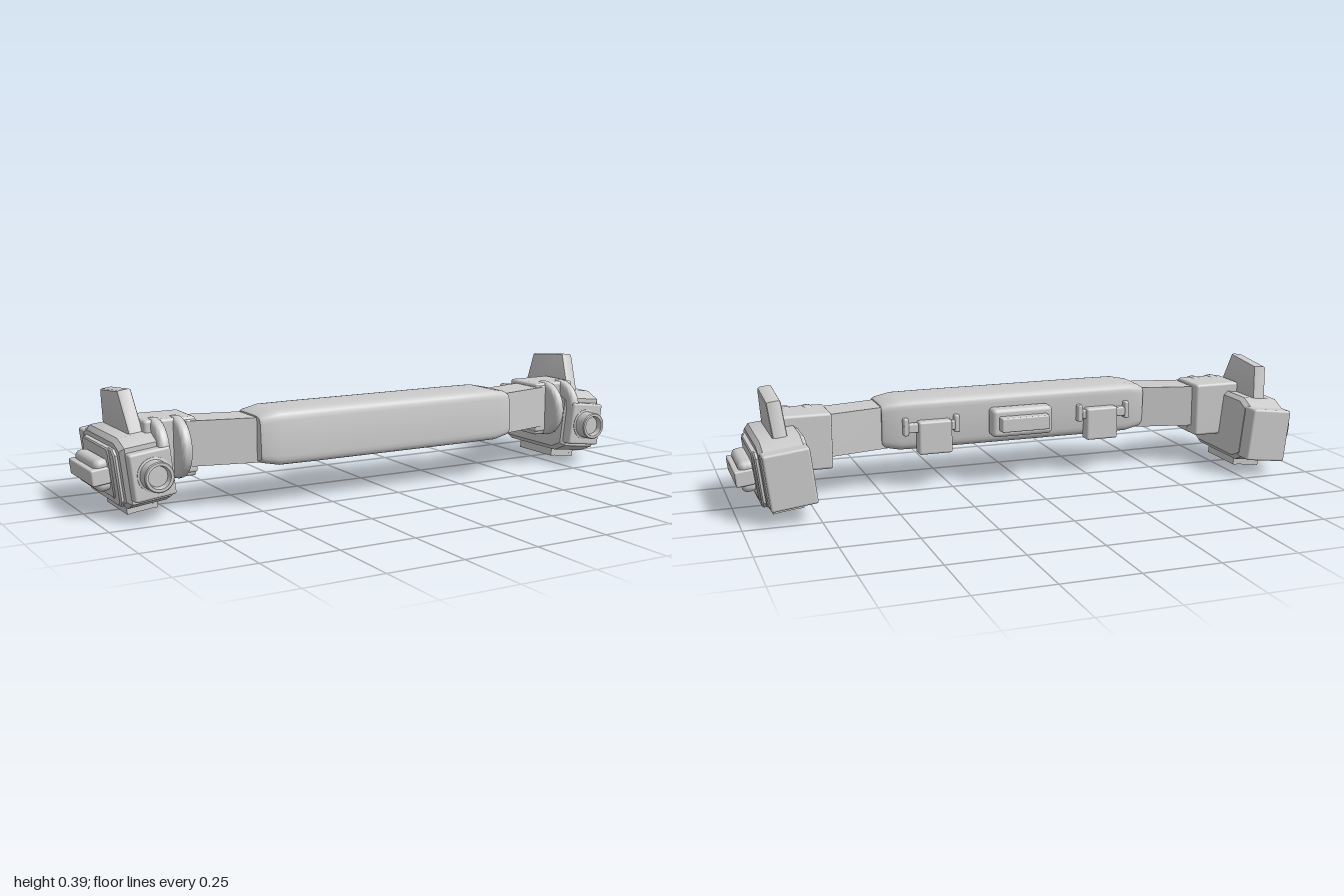
import * as THREE from 'three';
import { toCreasedNormals } from 'three/addons/utils/BufferGeometryUtils.js';
import { RoundedBoxGeometry } from 'three/addons/geometries/RoundedBoxGeometry.js';

const grey = new THREE.MeshStandardMaterial({ color: 0xcccccc });
grey.name = 'light grey';

function add(parent, name, geometry, x = 0, y = 0, z = 0) {
  const mesh = new THREE.Mesh(geometry, grey);
  mesh.name = name;
  mesh.position.set(x, y, z);
  parent.add(mesh);
  return mesh;
}

const round = (w, h, d, r) => new RoundedBoxGeometry(w, h, d, 2, r);

// Bevelled slab: outline given as [z, y], thickness along x, centred on x = 0
function slab(outline, width, bevel, segments = 1) {
  const shape = new THREE.Shape(outline.map(([z, y]) => new THREE.Vector2(-z, y)));
  const g = new THREE.ExtrudeGeometry(shape, {
    depth: width - 2 * bevel, bevelThickness: bevel, bevelSize: bevel,
    bevelOffset: -bevel, bevelSegments: segments,
  });
  g.translate(0, 0, -(width - 2 * bevel) / 2);
  g.rotateY(Math.PI / 2);
  return toCreasedNormals(g, 0.6);
}

// Rectangle outline with cut corners
function cutRect(z0, z1, y0, y1, cz, cy = cz) {
  return [[z0 + cz, y0], [z1 - cz, y0], [z1, y0 + cy], [z1, y1 - cy],
    [z1 - cz, y1], [z0 + cz, y1], [z0, y1 - cy], [z0, y0 + cy]];
}

// Padded bar lofted along x, its rounded section shrinking at both ends
function paddedBar() {
  const stations = [[-0.485, 0.8], [-0.475, 0.87], [-0.42, 0.99], [-0.3, 1],
    [0.3, 1], [0.42, 0.99], [0.475, 0.87], [0.485, 0.8]];
  const n = 32, last = stations.length - 1, pos = [], idx = [];
  const power = (v, e) => Math.sign(v) * Math.abs(v) ** e;
  for (const [x, s] of stations) {
    for (let i = 0; i < n; i++) {
      const a = (i / n) * Math.PI * 2;
      const z = power(Math.cos(a), 0.28) * 0.098;
      const y = power(Math.sin(a), 0.28) * 0.09;
      pos.push(x, 0.22 + y * s, 0.127 + (z - y * 0.06) * (0.35 + 0.65 * s));
    }
  }
  for (let j = 0; j < last; j++) {
    for (let i = 0; i < n; i++) {
      const a = j * n + i, b = j * n + ((i + 1) % n);
      idx.push(a, a + n, b, b, a + n, b + n);
    }
  }
  for (let i = 1; i < n - 1; i++) {
    idx.push(0, i, i + 1, last * n, last * n + i + 1, last * n + i);
  }
  const g = new THREE.BufferGeometry();
  g.setAttribute('position', new THREE.Float32BufferAttribute(pos, 3));
  g.setIndex(idx);
  return toCreasedNormals(g, 0.6);
}

// Hollow lens barrel pointing to +z
function lensGeometry() {
  const profile = [[0.055, 0], [0.055, 0.02], [0.048, 0.022], [0.048, 0.062], [0.045, 0.065],
    [0.036, 0.065], [0.032, 0.045], [0, 0.045]].map(([r, h]) => new THREE.Vector2(r, h));
  const g = new THREE.LatheGeometry(profile, 28);
  g.rotateX(Math.PI / 2);
  return toCreasedNormals(g, 0.5);
}

// Tilted end pod with all its fittings; s is the side
function buildPod(s) {
  const pod = new THREE.Group();
  pod.name = s > 0 ? 'leftPod' : 'rightPod';
  pod.position.set(s * 0.85, 0.148, 0);
  pod.rotation.z = -s * 0.12;

  add(pod, 'podBody', slab(cutRect(-0.203, 0.172, -0.113, 0.113, 0.055, 0.024), 0.155, 0.014), -s * 0.005);
  add(pod, 'sidePlate', slab(cutRect(-0.17, 0.137, -0.1, 0.083, 0.018), 0.03, 0.005), s * 0.07);
  add(pod, 'innerPlate', slab(cutRect(-0.152, 0.1, -0.078, 0.083, 0.012), 0.03, 0.004), s * 0.075);
  add(pod, 'sideKnob', round(0.05, 0.104, 0.205, 0.02), s * 0.108, -0.002, -0.018);
  add(pod, 'knobBand', round(0.06, 0.052, 0.226, 0.006), s * 0.12, -0.001, -0.017);
  add(pod, 'rearBox', round(0.15, 0.184, 0.075, 0.008), -s * 0.006, -0.002, -0.2125);
  add(pod, 'frontPlate', round(0.135, 0.152, 0.05, 0.008), -s * 0.008, -0.002, 0.18);
  add(pod, 'lens', lensGeometry(), -s * 0.012, -0.002, 0.187);

  // Upright fin
  add(pod, 'fin', slab([[0.108, 0.1], [0.048, 0.242], [-0.125, 0.225], [-0.152, 0.1]], 0.048, 0.009, 2), -s * 0.008);

  // Slotted foot under the pod
  for (const x of [-0.043, 0.043]) {
    add(pod, 'footRail', new THREE.BoxGeometry(0.016, 0.035, 0.19), x, -0.125, -0.016);
  }
  for (let i = 0; i < 4; i++) {
    add(pod, 'footBar', new THREE.BoxGeometry(0.1, 0.033, 0.018), 0, -0.125, -0.102 + i * 0.0573);
  }
  return pod;
}

// Arm and hinge between the bar and a pod
function buildHinge(s) {
  const hinge = new THREE.Group();
  hinge.name = s > 0 ? 'leftHinge' : 'rightHinge';
  const arm = add(hinge, 'arm', new THREE.BoxGeometry(0.27, 0.145, 0.13), s * 0.575, 0.215, 0.094);
  arm.rotation.y = s * 0.235;
  add(hinge, 'hingeBlock', round(0.17, 0.19, 0.155, 0.01), s * 0.752, 0.205, 0.0475);
  add(hinge, 'hingeCheek', round(0.05, 0.17, 0.1, 0.008), s * 0.69, 0.207, 0.08);

  // Round fork plates
  const circle = Array.from({ length: 28 }, (_, i) => {
    const a = (i / 28) * Math.PI * 2;
    return [0.102 + 0.1 * Math.cos(a), 0.205 + 0.1 * Math.sin(a)];
  });
  for (const x of [0.725, 0.798]) {
    add(hinge, 'hingeDisc', slab(circle, 0.036, 0.014, 3), s * x);
  }
  return hinge;
}

// Hanging clip on the back of the bar
function buildClip(s) {
  const clip = new THREE.Group();
  clip.name = s > 0 ? 'leftClip' : 'rightClip';
  add(clip, 'clipBody', round(0.118, 0.115, 0.05, 0.008), s * 0.308, 0.18, 0.02);
  add(clip, 'clipBar', round(0.18, 0.032, 0.03, 0.005), s * 0.318, 0.215, 0.022);
  for (const x of [0.228, 0.408]) {
    add(clip, 'clipTab', round(0.018, 0.06, 0.035, 0.005), s * x, 0.22, 0.022);
  }
  return clip;
}

export function createModel() {
  const model = new THREE.Group();
  model.name = 'hingedBar';
  add(model, 'paddedBar', paddedBar());

  // Centre latch on the back
  const latch = new THREE.Group();
  latch.name = 'centreLatch';
  add(latch, 'latchBase', round(0.22, 0.1, 0.06, 0.015), 0, 0.215, 0.005);
  add(latch, 'latchBand', round(0.175, 0.05, 0.07, 0.005), 0, 0.215, -0.025);
  model.add(latch);

  for (const s of [1, -1]) model.add(buildPod(s), buildHinge(s), buildClip(s));
  return model;
}
